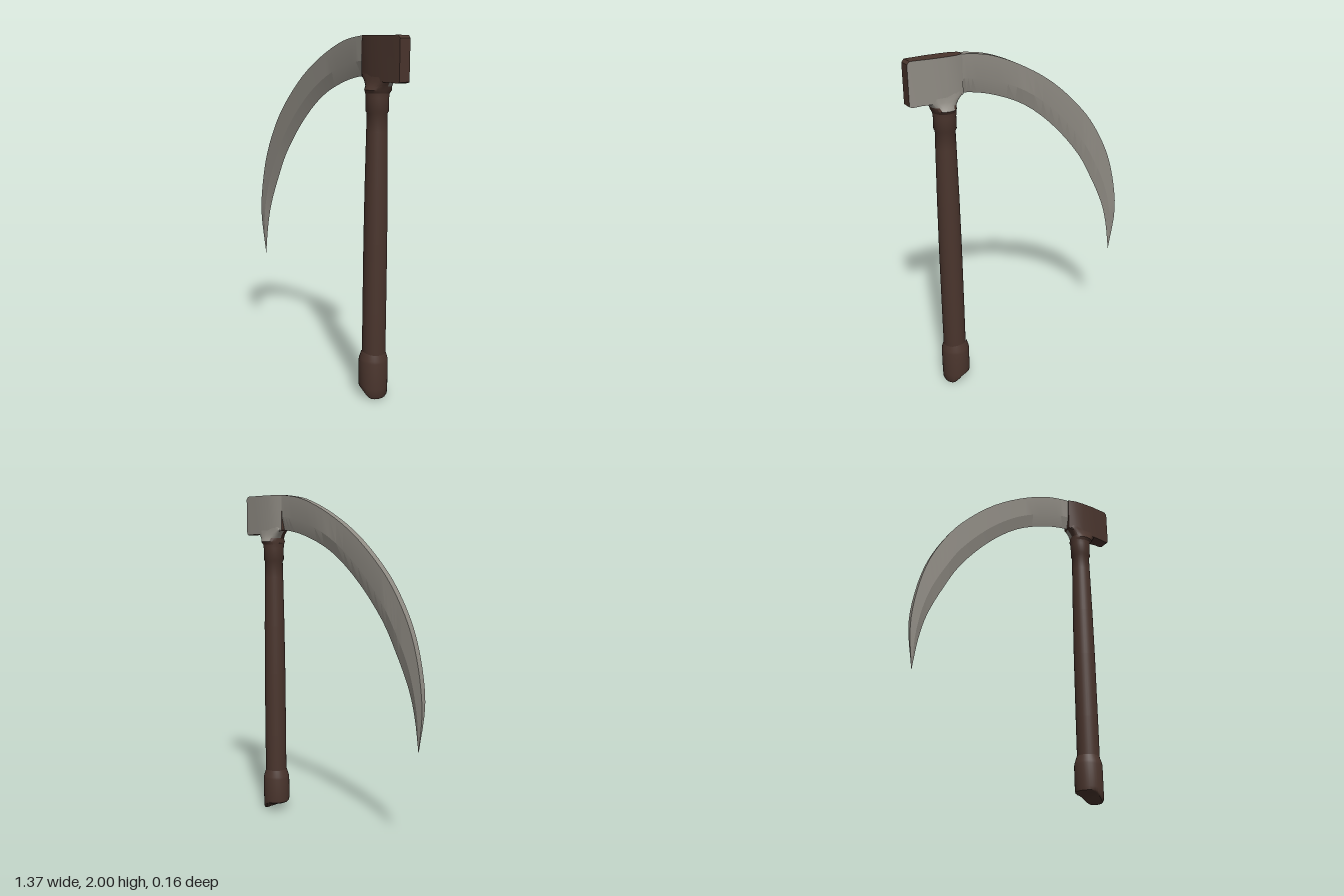
import * as THREE from 'three';
import { toCreasedNormals } from 'three/addons/utils/BufferGeometryUtils.js';

const brown = new THREE.MeshStandardMaterial({ color: 0x4a352d });
brown.name = 'dark brown wood';
const steel = new THREE.MeshStandardMaterial({ color: 0x918d85 });
steel.name = 'grey steel';

const HANDLE_X = 0.477;

// Joins cross-section rings; keep(i, j) picks which faces, capped closes both ends.
function loft(rings, { keep = () => true, capped = false, crease = 0.5 } = {}) {
  const pos = [];
  const tri = (...pts) => pts.forEach((p) => pos.push(...p));
  const n = rings[0].length;
  for (let i = 0; i < rings.length - 1; i++) {
    for (let j = 0; j < n; j++) {
      if (!keep(i, j)) continue;
      const k = (j + 1) % n;
      const [a, b, c, d] = [rings[i][j], rings[i][k], rings[i + 1][k], rings[i + 1][j]];
      tri(a, b, c);
      tri(a, c, d);
    }
  }
  if (capped) {
    const first = rings[0], last = rings[rings.length - 1];
    for (let j = 1; j < n - 1; j++) {
      tri(first[0], first[j + 1], first[j]);
      tri(last[0], last[j], last[j + 1]);
    }
  }
  const geo = new THREE.BufferGeometry();
  geo.setAttribute('position', new THREE.Float32BufferAttribute(pos, 3));
  return toCreasedNormals(geo, crease);
}

function add(group, name, geo, material) {
  const mesh = new THREE.Mesh(geo, material);
  mesh.name = name;
  group.add(mesh);
  return mesh;
}

const curve = (pts) => new THREE.CatmullRomCurve3(pts.map(([x, y]) => new THREE.Vector3(x, y, 0)));

// Curved blade: flat spine outside, bevelled to a sharp inner edge
function makeBlade(group) {
  const spine = curve([[0.4, 2], [0.33, 1.995], [0.2, 1.97], [0, 1.885], [-0.2, 1.76], [-0.4, 1.575],
    [-0.5, 1.445], [-0.6, 1.26], [-0.66, 1.06], [-0.688, 0.84], [-0.66, 0.58]]);
  const edge = curve([[0.4, 1.79], [0.33, 1.785], [0.2, 1.755], [0, 1.67], [-0.2, 1.515], [-0.4, 1.285],
    [-0.5, 1.11], [-0.56, 0.99], [-0.6, 0.89], [-0.633, 0.76], [-0.66, 0.58]]);
  const rings = [];
  const steps = 36;
  for (let i = 0; i <= steps; i++) {
    const t = i / steps;
    const o = spine.getPoint(t), e = edge.getPoint(t);
    const m = o.clone().lerp(e, 0.62);
    const h = 0.025 * (1 - 0.35 * t) * Math.min(1, (1 - t) * 8);
    const z = -0.002;
    rings.push([[o.x, o.y, z + h], [o.x, o.y, z - h], [m.x, m.y, z - h * 0.9],
      [e.x, e.y, z], [m.x, m.y, z + h * 0.9]]);
  }
  add(group, 'blade', loft(rings, { crease: 0.25 }), steel);
}

// Hammer-like head block: brown front, top and ends, steel back plate
function makeHead(group) {
  const columns = [ // x, bottom y, top y, half thickness
    [0.375, 1.79, 2, 0.027], [0.42, 1.77, 2, 0.042], [0.48, 1.765, 2, 0.046],
    [0.56, 1.765, 2, 0.045], [0.62, 1.765, 2, 0.039], [0.67, 1.762, 2, 0.036], [0.685, 1.768, 1.985, 0.034]];
  const rings = columns.map(([x, lo, hi, h]) => [
    [x, hi, -h], [x, hi, h], [x, lo, h], [x, lo, -h]]);
  add(group, 'headBlock', loft(rings, { keep: (i, j) => j !== 2 + 1, capped: true }), brown);
  add(group, 'headBackPlate', loft(rings, { keep: (i, j) => j === 3 }), steel);
}

// Neck blending the flat head into the round collar
function makeNeck(group) {
  const levels = [ // y, centre x, half width, half depth, squareness
    [1.705, 0.478, 0.064, 0.066, 1], [1.722, 0.482, 0.068, 0.075, 0.95],
    [1.742, 0.486, 0.072, 0.06, 0.8], [1.765, 0.488, 0.087, 0.05, 0.6],
    [1.79, 0.485, 0.105, 0.046, 0.5], [1.84, 0.485, 0.09, 0.038, 0.5]];
  const n = 24;
  const power = (v, p) => Math.sign(v) * Math.abs(v) ** p;
  const rings = levels.map(([y, cx, w, d, p]) => Array.from({ length: n }, (_, j) => {
    const a = (j / n) * Math.PI * 2;
    return [cx + w * power(Math.cos(a), p), y, -d * power(Math.sin(a), p)];
  }));
  // steel runs down the back in a point
  const onBack = (i, j) => j < n / 2 && (i >= 2 || (i === 1 && j >= 4 && j < 8));
  add(group, 'neckFront', loft(rings, { keep: (i, j) => !onBack(i, j) }), brown);
  add(group, 'neckBack', loft(rings, { keep: onBack }), steel);
}

// Turned handle with collar, slightly thicker towards the bottom
function makeHandle(group) {
  const profile = [[0.064, 0.2], [0.066, 0.26], [0.066, 0.5], [0.065, 0.9], [0.062, 1.2], [0.057, 1.5],
    [0.055, 1.6], [0.062, 1.612], [0.0615, 1.68], [0.065, 1.71], [0.04, 1.73]];
  const geo = new THREE.LatheGeometry(profile.map(([r, y]) => new THREE.Vector2(r, y)), 32);
  add(group, 'handle', toCreasedNormals(geo, 0.6), brown).position.x = HANDLE_X;
}

// Butt sleeve whose underside is cut away on one side
function makeButt(group) {
  const profile = [[0, 0], [0.02, 0], [0.04, 0], [0.06, 0], [0.073, 0.004], [0.08, 0.018], [0.082, 0.06],
    [0.082, 0.215], [0.079, 0.23], [0.066, 0.27]];
  const geo = new THREE.LatheGeometry(profile.map(([r, y]) => new THREE.Vector2(r, y)), 32);
  const p = geo.attributes.position;
  for (let i = 0; i < p.count; i++) {
    const y = p.getY(i);
    if (y > 0.1) continue;
    const lift = 0.052 * (1 - THREE.MathUtils.smoothstep(p.getX(i), -0.02, 0.06));
    p.setY(i, y + lift * (1 - y / 0.1));
  }
  add(group, 'butt', toCreasedNormals(geo, 0.7), brown).position.x = HANDLE_X - 0.003;
}

export function createModel() {
  const model = new THREE.Group();
  model.name = 'sickle';
  [makeBlade, makeHead, makeNeck, makeHandle, makeButt].forEach((make) => make(model));
  return model;
}
